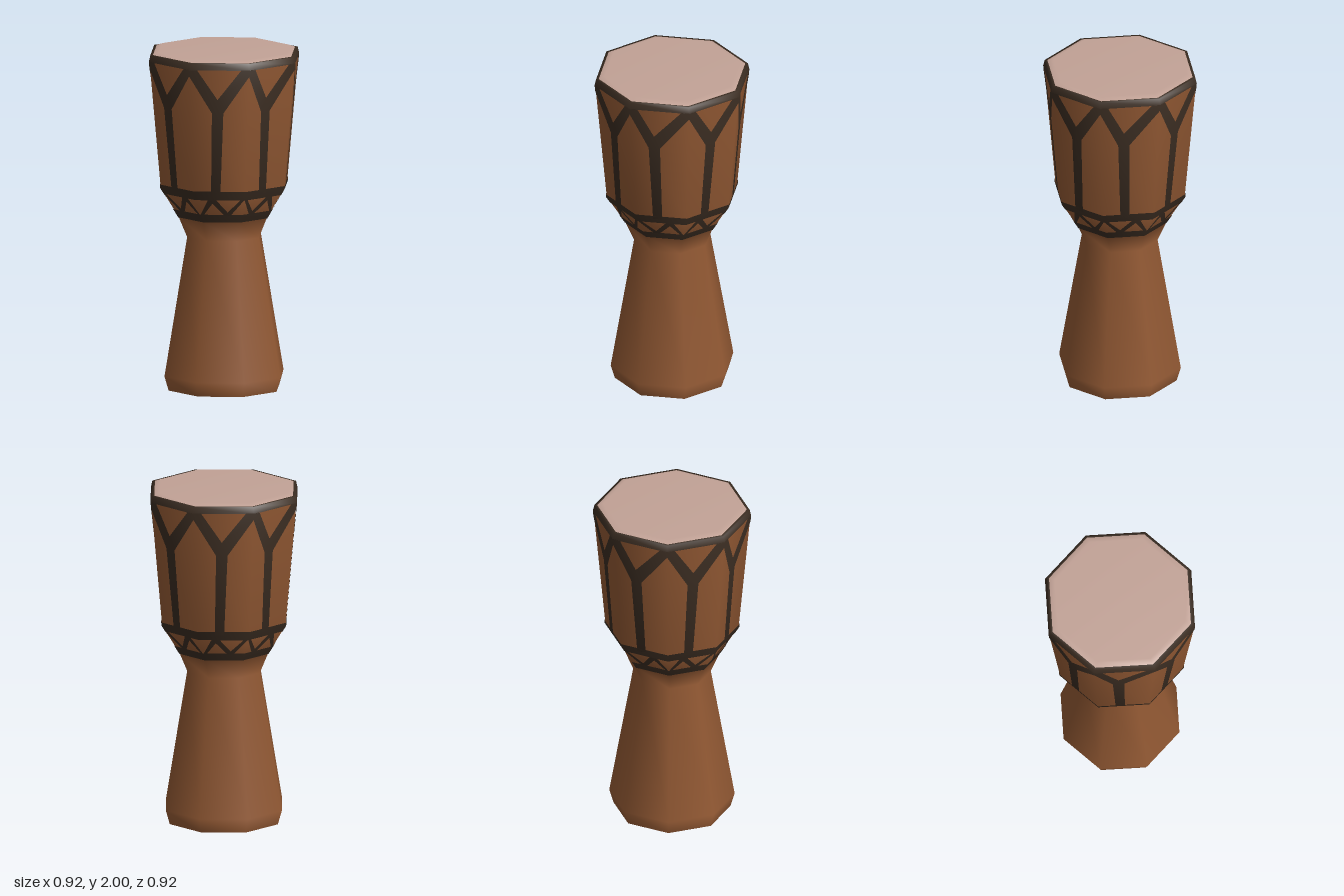
import * as THREE from 'three';

const SIDES = 8;
const LIFT = 0.004;
// Body silhouette: [radius, height], foot to rim
const PROFILE = [
  [0.34, 0], [0.365, 0.085], [0.226, 0.9], [0.277, 1.02],
  [0.388, 1.2], [0.457, 1.95], [0.448, 1.985],
];

const lathe = (points) =>
  new THREE.LatheGeometry(points.map(([r, y]) => new THREE.Vector2(r, y)), SIDES);

// Outward slope (radial, vertical) at each profile point, averaged over its segments
const segmentNormals = PROFILE.slice(1).map(([r, y], i) =>
  new THREE.Vector2(y - PROFILE[i][1], PROFILE[i][0] - r).normalize());
const pointNormals = PROFILE.map((_, i) =>
  (segmentNormals[i - 1] || segmentNormals[i]).clone()
    .add(segmentNormals[i] || segmentNormals[i - 1]).normalize());

// Radius and slope of the wall at a height
function wall(y) {
  let i = 0;
  while (i < PROFILE.length - 2 && y > PROFILE[i + 1][1]) i++;
  const [r0, y0] = PROFILE[i];
  const [r1, y1] = PROFILE[i + 1];
  const t = (y - y0) / (y1 - y0);
  return { r: r0 + (r1 - r0) * t, n: pointNormals[i].clone().lerp(pointNormals[i + 1], t) };
}

// Collects thin convex patches laid on the faceted wall; corners are (u across the face, y)
class Inlay {
  positions = [];
  normals = [];

  corner(face, u, y) {
    const { r, n } = wall(y);
    const a = (face / SIDES) * Math.PI * 2;
    const b = ((face + 1) / SIDES) * Math.PI * 2;
    const x = Math.sin(a) * (1 - u) + Math.sin(b) * u;
    const z = Math.cos(a) * (1 - u) + Math.cos(b) * u;
    const normal = new THREE.Vector3(x * n.x, n.y, z * n.x).normalize();
    this.positions.push(x * (r + LIFT), y, z * (r + LIFT));
    this.normals.push(normal.x, normal.y, normal.z);
  }

  patch(face, corners) {
    for (let i = 1; i < corners.length - 1; i++) {
      for (const [u, y] of [corners[0], corners[i], corners[i + 1]]) this.corner(face, u, y);
    }
  }

  band(y0, y1) {
    for (let f = 0; f < SIDES; f++) this.patch(f, [[0, y0], [1, y0], [1, y1], [0, y1]]);
  }

  geometry() {
    const g = new THREE.BufferGeometry();
    g.setAttribute('position', new THREE.Float32BufferAttribute(this.positions, 3));
    g.setAttribute('normal', new THREE.Float32BufferAttribute(this.normals, 3));
    return g;
  }
}

// Upright strips that fork into a Y below the rim
function forkedStrips() {
  const inlay = new Inlay();
  for (let f = 0; f < SIDES; f++) {
    const c = f % 2 ? 0.47 : 0.4;
    const foot = f % 2 ? 0.42 : 0.43;
    inlay.patch(f, [[foot - 0.09, 1.2], [foot + 0.09, 1.2], [c + 0.1, 1.69], [c, 1.77], [c - 0.1, 1.69]]);
    inlay.patch(f, [[c, 1.77], [c + 0.1, 1.69], [1, 1.91], [1, 1.95], [0.87, 1.95]]);
    inlay.patch(f, [[c, 1.77], [0.13, 1.95], [0, 1.95], [0, 1.91], [c - 0.1, 1.69]]);
  }
  return inlay.geometry();
}

// Two rings joined by a zigzag, three diagonals per face
function zigzagBelt() {
  const inlay = new Inlay();
  inlay.band(1.02, 1.07);
  inlay.band(1.165, 1.2);
  inlay.band(1.2, 1.22);
  const clamp = (u) => Math.min(1, Math.max(0, u));
  const w = 0.075;
  for (let f = 0; f < SIDES; f++) {
    for (let i = 0; i < 3; i++) {
      const falling = (i + f) % 2 === 0;
      const low = (falling ? i + 1 : i) / 3;
      const high = (falling ? i : i + 1) / 3;
      inlay.patch(f, [
        [clamp(low - w), 1.065], [clamp(low + w), 1.065],
        [clamp(high + w), 1.17], [clamp(high - w), 1.17],
      ]);
    }
  }
  return inlay.geometry();
}

export function createModel() {
  const wood = new THREE.MeshStandardMaterial({ color: 0x945a34, side: THREE.DoubleSide });
  wood.name = 'warm brown wood';
  const dark = new THREE.MeshStandardMaterial({ color: 0x3b2d22, side: THREE.DoubleSide });
  dark.name = 'dark brown binding';
  const hide = new THREE.MeshStandardMaterial({ color: 0xc2a296 });
  hide.name = 'pale drum hide';

  const model = new THREE.Group();
  model.name = 'gobletDrum';
  const add = (name, geometry, material) => {
    const mesh = new THREE.Mesh(geometry, material);
    mesh.name = name;
    model.add(mesh);
  };

  // Hollow goblet shell, open at the foot
  add('body', lathe(PROFILE), wood);
  add('forkedStrips', forkedStrips(), dark);
  add('zigzagBelt', zigzagBelt(), dark);

  // Rim binding wrapped over the top edge
  add('rim', lathe([[0.461, 1.947], [0.452, 1.986], [0.436, 1.987]]), dark);

  // Stretched playing skin with a bevelled edge
  add('skin', lathe([[0.443, 1.984], [0.4, 2], [0, 2]]), hide);
  return model;
}
